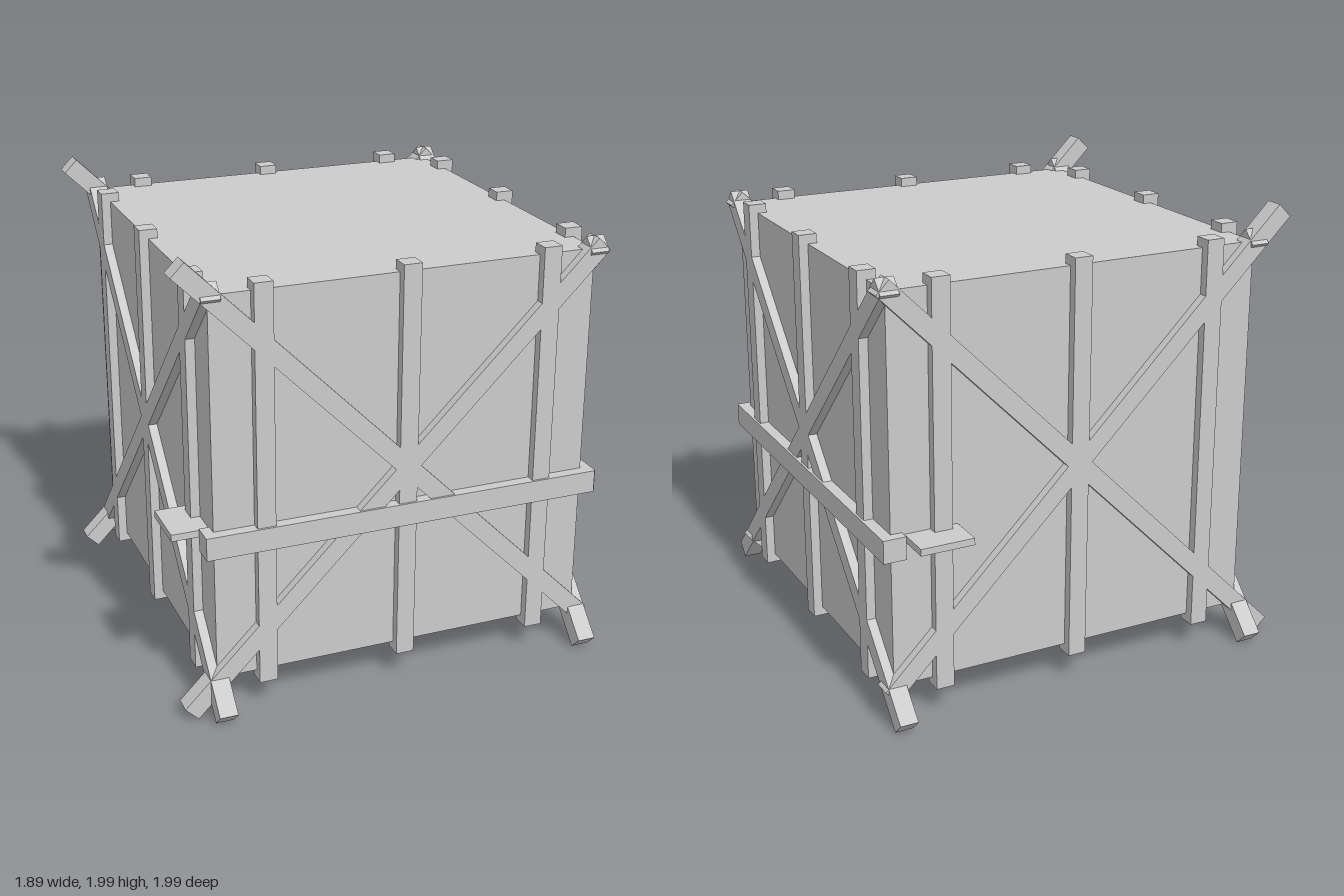
import * as THREE from 'three';

const HALF = 0.84;              // half the crate's side
const CX = 0.05, CY = 1;        // crate centre
const T = 0.08;                 // batten and brace thickness

export function createModel() {
  const root = new THREE.Group();
  const crate = new THREE.Group();
  crate.name = 'crate';
  crate.position.set(CX, CY, 0);
  root.add(crate);

  const wood = new THREE.MeshStandardMaterial({ color: 0xcccccc, flatShading: true });
  const panelMat = new THREE.MeshStandardMaterial({ color: 0xcccccc, flatShading: true, side: THREE.DoubleSide });

  const box = (parent, name, w, h, d, x, y, z) => {
    const m = new THREE.Mesh(new THREE.BoxGeometry(w, h, d), wood);
    m.name = name;
    m.position.set(x, y, z);
    parent.add(m);
    return m;
  };

  // Diagonal bar in a wall's plane, between two points
  const brace = (parent, x0, y0, x1, y1) => {
    const m = box(parent, 'brace', Math.hypot(x1 - x0, y1 - y0), T, T, (x0 + x1) / 2, (y0 + y1) / 2, 0);
    m.rotation.z = Math.atan2(y1 - y0, x1 - x0);
  };

  const panel = (parent, name) => {
    const m = new THREE.Mesh(new THREE.PlaneGeometry(2 * HALF, 2 * HALF), panelMat);
    m.name = name;
    parent.add(m);
    return m;
  };

  // Four walls: thin panel, three battens and crossed braces (bottom stays open)
  const SHORT = 0.865, LONG = 0.965;
  const walls = [
    ['frontWall', 0, 1], ['leftWall', Math.PI / 2, 0],
    ['backWall', Math.PI, -1], ['rightWall', -Math.PI / 2, 0],
  ];
  for (const [name, angle, facing] of walls) {
    const wall = new THREE.Group();
    wall.name = name;
    wall.rotation.y = angle;
    wall.position.set(Math.sin(angle) * HALF, 0, Math.cos(angle) * HALF);
    crate.add(wall);
    panel(wall, 'panel');
    for (const x of [-0.625, 0, 0.625]) box(wall, 'batten', T, 1.76, T, x, 0, 0);
    for (const s of [-1, 1]) {
      if (facing) {
        // front and back: long ends point towards -x
        brace(wall, -facing * LONG, s * LONG, facing * SHORT, -s * SHORT);
      } else {
        // sides: long ends point down
        brace(wall, s * LONG, -LONG, -s * SHORT, SHORT);
      }
    }
  }

  // Roof panel
  const roof = panel(crate, 'roof');
  roof.rotation.x = -Math.PI / 2;
  roof.position.y = HALF;

  // Rails around the front and left walls
  box(crate, 'frontRail', 1.77, 0.1, 0.1, 0, -0.21, HALF);
  box(crate, 'leftRail', 0.1, 0.1, 1.77, HALF, -0.21, 0);

  // Inner shelves whose ends poke out through the far walls
  const shelf = (name, x0, x1, z0, z1) =>
    box(root, name, x1 - x0, 0.03, z1 - z0, (x0 + x1) / 2, 0.815, (z0 + z1) / 2);
  shelf('frontShelf', -0.95, 0.83, 0.545, 0.785);
  shelf('leftShelf', 0.595, 0.83, -1, 0.785);

  return root;
}
